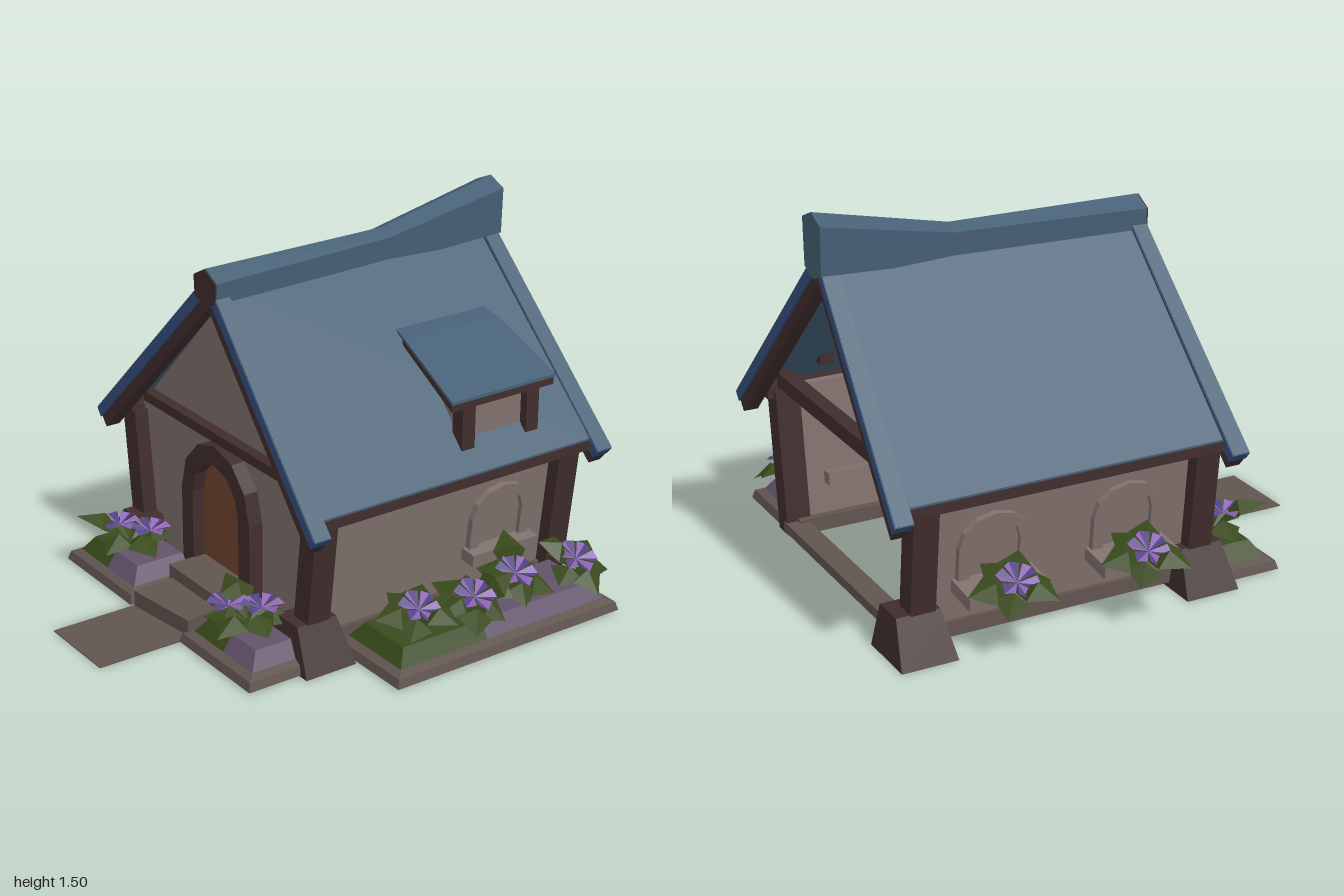
import * as THREE from 'three';

const mat = (name, color, double) => {
  const m = new THREE.MeshStandardMaterial({ color });
  m.name = name;
  if (double) m.side = THREE.DoubleSide;
  return m;
};
const M = {
  wall: mat('plaster', 0x80716d),
  wood: mat('dark wood', 0x402d2d),
  roof: mat('slate blue', 0x466075),
  trim: mat('blue trim', 0x34507f),
  door: mat('door brown', 0x70462e),
  stone: mat('stone', 0x61544f),
  soil: mat('purple soil', 0x62526a),
  leaf: mat('leaf green', 0x3a4b1d, true),
  light: mat('petal light', 0x9066b8, true),
  dark: mat('petal dark', 0x54448a, true),
};

function add(parent, name, geo, material) {
  const m = new THREE.Mesh(geo, material);
  m.name = name;
  parent.add(m);
  return m;
}

// faceted geometry from a list of triangles of [x,y,z]
function facets(tris) {
  const g = new THREE.BufferGeometry();
  g.setAttribute('position', new THREE.Float32BufferAttribute(tris.flat(2), 3));
  g.computeVertexNormals();
  return g;
}

// closed solid through equal-length cross-sections, turned outward by its volume
function loft(sections) {
  const n = sections[0].length, t = [];
  const last = sections[sections.length - 1];
  for (let s = 0; s + 1 < sections.length; s++) {
    const a = sections[s], b = sections[s + 1];
    for (let i = 0; i < n; i++) {
      const j = (i + 1) % n;
      t.push([a[i], a[j], b[j]], [a[i], b[j], b[i]]);
    }
  }
  for (let i = 1; i + 1 < n; i++) {
    t.push([sections[0][0], sections[0][i + 1], sections[0][i]], [last[0], last[i], last[i + 1]]);
  }
  let volume = 0;
  const [p, q, r] = [0, 1, 2].map(() => new THREE.Vector3());
  for (const [a, b, c] of t) volume += p.set(...a).dot(q.set(...b).cross(r.set(...c)));
  return facets(volume < 0 ? t.map(([a, b, c]) => [a, c, b]) : t);
}

// horizontal rectangle section
const rect = (x0, x1, z0, z1, y) => [[x0, y, z0], [x1, y, z0], [x1, y, z1], [x0, y, z1]];
const block = (x0, x1, y0, y1, z0, z1) => loft([rect(x0, x1, z0, z1, y0), rect(x0, x1, z0, z1, y1)]);

// round arch outline
function arch(S, w, y0, spring, top) {
  const s = new S();
  s.moveTo(-w, y0);
  s.lineTo(w, y0);
  s.lineTo(w, spring);
  for (let i = 1; i < 6; i++) {
    const a = (i / 6) * Math.PI;
    s.lineTo(w * Math.cos(a), spring + (top - spring) * Math.sin(a));
  }
  s.lineTo(-w, spring);
  s.closePath();
  return s;
}
const extrude = (s, depth) => new THREE.ExtrudeGeometry(s, { depth, bevelEnabled: false });

const wallX = y => 0.545 + 0.11 * y; // walls lean outward

// arched window with sill, laid against a leaning side wall
function arched(parent, name, z, s, sillDepth) {
  const g = new THREE.Group();
  g.name = name;
  const frame = arch(THREE.Shape, 0.145, 0.25, 0.38, 0.5);
  frame.holes.push(arch(THREE.Path, 0.1, 0.251, 0.38, 0.465));
  add(g, 'windowFrame', extrude(frame, 0.025), M.wall);
  add(g, 'windowPane', extrude(arch(THREE.Shape, 0.1, 0.25, 0.38, 0.465), 0.006), M.wall);
  add(g, 'windowSill', block(-0.16, 0.16, 0.2, 0.25, -0.08, sillDepth), M.wall);
  g.rotation.set(0.11, s * Math.PI / 2, 0, 'YXZ');
  g.position.set(s * 0.545, 0, z);
  parent.add(g);
}

// plant: a few broad folded leaves plus pinwheel flowers
function plant(parent, x, y, z, r, flowers, tilt, turn) {
  const g = new THREE.Group();
  g.name = 'plant';
  const leaves = [];
  for (let i = 0; i < 6; i++) {
    const a = turn + (i / 6) * Math.PI * 2, L = r * (i % 2 ? 0.85 : 1), rise = i === 2 ? 0.12 : 0.02;
    const P = (u, w, h) => [Math.cos(a) * u * L - Math.sin(a) * w, h, Math.sin(a) * u * L + Math.cos(a) * w];
    const base = P(0.05, 0, -0.01), l = P(0.5, 0.07, rise * 0.6), q = P(0.5, -0.07, rise * 0.6);
    const mid = P(0.45, 0, rise * 0.6 + 0.04), tip = P(1, 0, rise - 0.02);
    leaves.push([base, l, mid], [base, mid, q], [l, tip, mid], [mid, tip, q]);
  }
  add(g, 'leaves', facets(leaves), M.leaf);
  for (const [fx, fy, fz] of flowers) {
    const halves = [[], []];
    for (let i = 0; i < 6; i++) {
      const P = (d, R, h) => {
        const a = ((i + d) / 6) * Math.PI * 2;
        return [fx + R * Math.cos(a), fy + h, fz + R * Math.sin(a)];
      };
      const c = [fx, fy - 0.015, fz], tip = P(0, 0.085, 0);
      halves[0].push([c, P(-0.42, 0.07, 0.012), tip]);
      halves[1].push([c, tip, P(0.42, 0.07, 0.012)]);
    }
    add(g, 'petalsLight', facets(halves[0]), M.light);
    add(g, 'petalsDark', facets(halves[1]), M.dark);
  }
  g.position.set(x, y, z);
  g.rotation.z = tilt;
  parent.add(g);
}

// bed: stone border with a two-coloured mound
function bed(parent, x0, x1, z0, z1, alongZ) {
  const inset = (d, y) => rect(x0 + d, x1 - d, z0 + d, z1 - d, y);
  add(parent, 'bedBorder', loft([inset(0, 0.005), inset(0.01, 0.04), inset(0.045, 0.055)]), M.stone);
  const split = alongZ ? -0.25 : (x0 + x1) / 2;
  for (const green of [true, false]) {
    const part = (d, y) => {
      const b = [x0 + d, x1 - d, z0 + d, z1 - d];
      b[alongZ ? (green ? 2 : 3) : (green ? 1 : 0)] = split;
      return rect(...b, y);
    };
    add(parent, green ? 'bedGrass' : 'bedSoil', loft([part(0.035, 0), part(0.04, 0.05), part(0.085, 0.115)]),
      green ? M.leaf : M.soil);
  }
}

export function createModel() {
  const root = new THREE.Group();
  root.name = 'cottage';
  const house = new THREE.Group();
  house.name = 'house';
  house.position.x = -0.025;
  root.add(house);

  // front wall, door panel and the arch running through the wall
  const front = new THREE.Shape([[-0.55, 0.04], [0.55, 0.04], [0.61, 0.62], [0, 1.25], [-0.61, 0.62]]
    .map(p => new THREE.Vector2(...p)));
  add(house, 'frontWall', extrude(front, 0.03), M.wall).position.z = 0.27;
  add(house, 'door', extrude(arch(THREE.Shape, 0.16, 0.1, 0.41, 0.58), 0.006), M.door).position.z = 0.3;
  const frame = arch(THREE.Shape, 0.235, 0.06, 0.41, 0.66);
  frame.holes.push(arch(THREE.Path, 0.16, 0.061, 0.41, 0.58));
  add(house, 'doorFrame', extrude(frame, 0.11), M.wood).position.z = 0.25;

  // cross beams and the sill beam of the open back
  add(house, 'frontBeam', block(-0.53, 0.53, 0.665, 0.705, 0.25, 0.345), M.wood);
  add(house, 'backBeam', block(-0.6, 0.6, 0.62, 0.68, -0.88, -0.82), M.wood);
  add(house, 'backSill', block(-0.54, 0.54, 0.03, 0.07, -0.9, -0.81), M.stone);

  for (const s of [-1, 1]) {
    // side wall with sill and top plate
    const wallAt = y => rect(s * (wallX(y) - 0.03), s * wallX(y), -0.85, 0.28, y);
    add(house, 'sideWall', loft([wallAt(0.04), wallAt(0.62)]), M.wall);
    add(house, 'sideSill', block(s * 0.49, s * 0.57, 0.02, 0.08, -0.85, 0.28), M.stone);
    add(house, 'topPlate', block(s * 0.6, s * 0.692, 0.572, 0.612, -0.92, 0.36), M.wood);

    // leaning corner posts; flared feet except at the left rear
    for (const z of [0.31, -0.845]) {
      const post = (x, y) => rect(s * (x - 0.045), s * (x + 0.045), z - 0.05, z + 0.05, y);
      add(house, 'cornerPost', loft([post(0.556, 0.02), post(0.625, 0.6)]), M.wood);
      if (s > 0 && z < 0) continue;
      const zc = z > 0 ? 0.32 : -0.86;
      add(house, 'postFoot', loft([rect(s * 0.45, s * 0.71, zc - 0.115, zc + 0.11, 0),
        rect(s * 0.48, s * 0.615, zc - 0.09, zc + 0.085, 0.17)]), M.wood);
    }

    // roof slope
    const slope = z => [[s * 0.69, 0.62, z], [0, 1.33, z], [0, 1.305, z], [s * 0.69, 0.608, z]];
    add(house, 'roofSlope', loft([slope(-0.92), slope(0.36)]), M.roof);

    // flared verge boards with rafters beneath, front and back
    for (const [e0, e1, a0, a1, w] of [[0.355, 0.43, 0.32, 0.385, 0], [-1, -0.925, -0.95, -0.88, -0.02]]) {
      const board = (xo, yo, xi, yi, t, b, d) => loft([
        [[s * (xo + w), yo, e0 + d], [s * (xo + w), yo, e1 - d], [s * (xi + w), yi, e1 - d], [s * (xi + w), yi, e0 + d]],
        [[0, t, a0 + d], [0, t, a1 - d], [0, b, a1 - d], [0, b, a0 + d]]]);
      add(house, 'vergeBoard', board(0.755, 0.575, 0.73, 0.545, 1.345, 1.285, 0), M.trim);
      add(house, 'vergeRafter', board(0.73, 0.545, 0.7, 0.51, 1.285, 1.22, 0.008), M.wood);
      // slate strip over the board
      add(house, 'vergeSlate', board(0.757, 0.58, 0.75, 0.573, 1.35, 1.343, 0.002), M.roof);
    }
  }

  // swept hexagonal ridge with a wooden end cap
  const hex = (z, w, top, shoulder, bottom, low) =>
    [[0, top, z], [w, shoulder, z], [w * 0.93, bottom, z], [0, low, z], [-w * 0.93, bottom, z], [-w, shoulder, z]];
  add(house, 'ridge', loft([hex(0.385, 0.075, 1.38, 1.34, 1.255, 1.23),
    hex(-0.42, 0.06, 1.385, 1.36, 1.25, 1.23), hex(-0.96, 0.08, 1.5, 1.465, 1.28, 1.25)]), M.roof);
  add(house, 'ridgeCap', loft([hex(0.384, 0.073, 1.378, 1.338, 1.257, 1.232),
    hex(0.391, 0.073, 1.378, 1.338, 1.257, 1.232)]), M.wood);

  // dormer
  const dormer = new THREE.Group();
  dormer.name = 'dormer';
  root.add(dormer);
  const cheek = z => [[0.565, 0.71, z], [0.565, 0.9, z], [0.27, 1.03, z]];
  add(dormer, 'dormerWall', loft([cheek(-0.68), cheek(-0.36)]), M.wall);
  for (const z of [-0.37, -0.68]) add(dormer, 'dormerPost', block(0.54, 0.6, 0.69, 0.89, z - 0.03, z + 0.03), M.wood);
  const lid = (x, y, h, zc) => [[x, y, -0.52 - zc], [x, y, -0.52 + zc], [x, y - h, -0.52 + zc], [x, y - h, -0.52 - zc]];
  add(dormer, 'dormerRoof', loft([lid(0.21, 1.075, 0.012, 0.21), lid(0.3, 1.05, 0.012, 0.225), lid(0.62, 0.91, 0.012, 0.25)]), M.roof);
  add(dormer, 'dormerFascia', loft([lid(0.27, 1.051, 0.03, 0.215), lid(0.615, 0.9, 0.032, 0.247)]), M.wood);

  // side windows: one on the left, two on the right
  arched(house, 'leftWindow', -0.56, 1, 0.07);
  for (const z of [-0.55, 0]) arched(house, 'rightWindow', z, -1, 0.15);

  // steps and path
  add(root, 'upperStep', block(-0.19, 0.135, 0.06, 0.125, 0.27, 0.47), M.stone);
  add(root, 'lowerStep', loft([0.01, 0.075].map(y =>
    [[-0.175, y, 0.38], [0.135, y, 0.38], [0.165, y, 0.61], [-0.16, y, 0.65]])), M.stone);
  add(root, 'path', block(-0.175, 0.17, 0, 0.004, 0.58, 1), M.stone);

  // flower beds and plants
  bed(root, -0.67, -0.18, 0.28, 0.655, false);
  bed(root, 0.17, 0.645, 0.28, 0.655, false);
  bed(root, 0.53, 0.935, -0.87, 0.2, true);
  plant(root, -0.45, 0.14, 0.49, 0.21, [[-0.03, 0.07, 0.03], [0.07, 0.06, -0.05]], 0, 0.05);
  plant(root, 0.38, 0.14, 0.48, 0.2, [[-0.06, 0.06, 0.05], [0.06, 0.08, -0.02]], 0, 1.2);
  [[0.77, -0.77], [0.73, -0.5], [0.79, -0.25], [0.75, -0.02]].forEach(([x, z], i) =>
    plant(root, x, 0.16, z, 0.17, [[0.01, 0.065, 0.01]], -0.4, i * 1.3));
  for (const z of [-0.54, 0]) plant(root, -0.75, 0.24, z, 0.18, [[-0.01, 0.06, 0]], 0.5, 0.55);
  return root;
}
